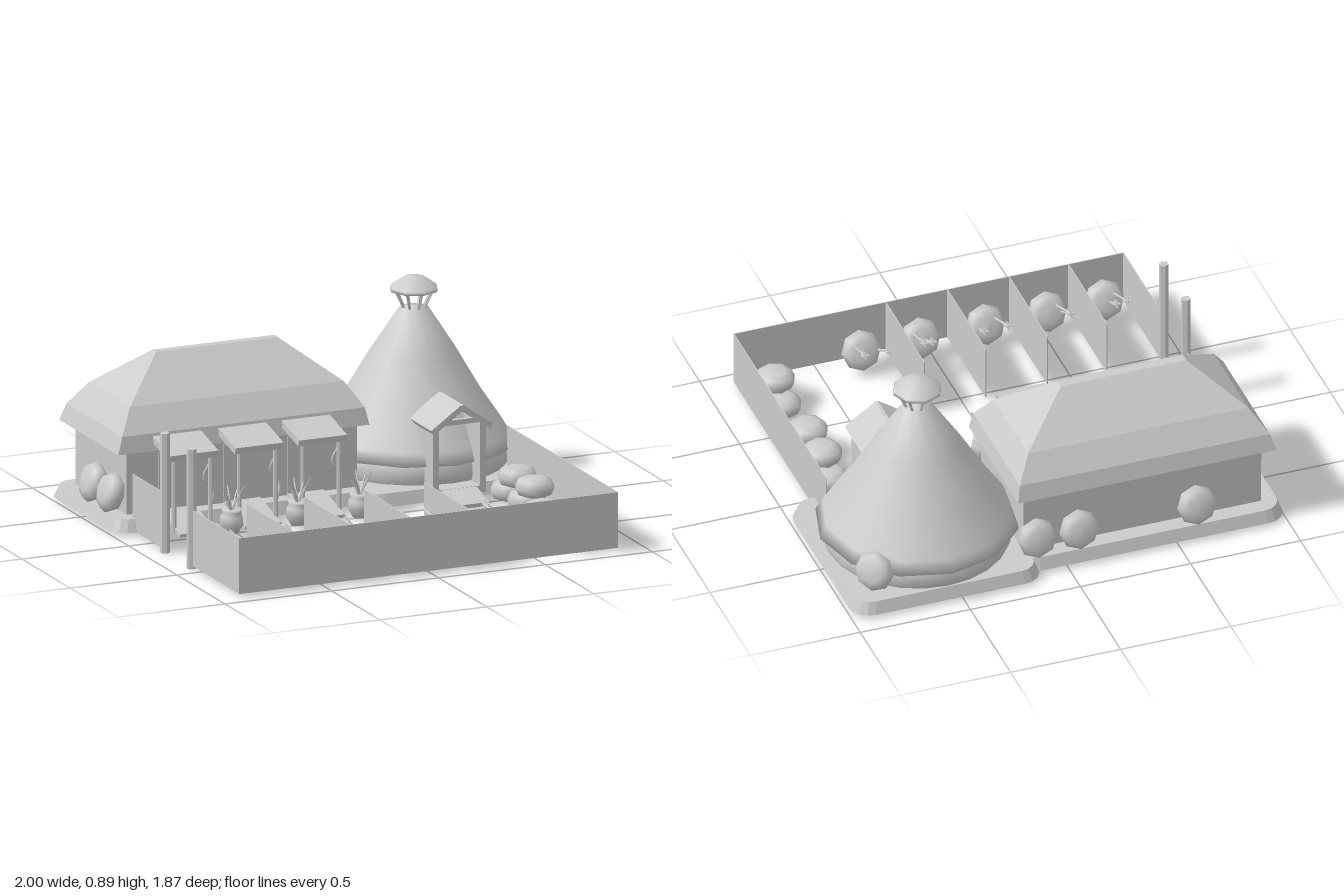
import * as THREE from 'three';

const smooth = new THREE.MeshStandardMaterial({ color: 0xcccccc, side: THREE.DoubleSide });
const flat = new THREE.MeshStandardMaterial({ color: 0xcccccc, side: THREE.DoubleSide, flatShading: true });
const UP = new THREE.Vector3(0, 1, 0);

export function createModel() {
  const root = new THREE.Group();
  const add = (name, geo, mat = flat, parent = root) => {
    const m = new THREE.Mesh(geo, mat);
    m.name = name;
    parent.add(m);
    return m;
  };
  // Box given by its limits
  const box = (name, x0, x1, y0, y1, z0, z1) => {
    const m = add(name, new THREE.BoxGeometry(x1 - x0, y1 - y0, z1 - z0));
    m.position.set((x0 + x1) / 2, (y0 + y1) / 2, (z0 + z1) / 2);
    return m;
  };
  // Straight rod between two points
  const rod = (name, a, b, r0, r1 = r0, sides = 6) => {
    const p = new THREE.Vector3(...a), q = new THREE.Vector3(...b);
    const m = add(name, new THREE.CylinderGeometry(r1, r0, p.distanceTo(q), sides));
    m.position.copy(p).lerp(q, 0.5);
    m.quaternion.setFromUnitVectors(UP, q.sub(p).normalize());
    return m;
  };
  // Sloping slab running in z, from the back edge to the front edge
  const slab = (name, x, w, yBack, zBack, yFront, zFront, t) => {
    const len = Math.hypot(zFront - zBack, yBack - yFront);
    const m = add(name, new THREE.BoxGeometry(w, t, len));
    m.position.set(x, (yBack + yFront) / 2 - t / 2, (zBack + zFront) / 2);
    m.rotation.x = Math.atan2(yBack - yFront, zFront - zBack);
    return m;
  };
  // Rectangle ring with rounded corners, counter-clockwise from above
  const ring = (x0, x1, z0, z1, y, r = 0, n = 0) => {
    const pts = [];
    [[x1 - r, z0 + r], [x0 + r, z0 + r], [x0 + r, z1 - r], [x1 - r, z1 - r]].forEach(([cx, cz], k) => {
      for (let i = 0; i <= n; i++) {
        const a = (k + (n ? i / n : 0)) * Math.PI / 2;
        pts.push([cx + r * Math.cos(a), y, cz - r * Math.sin(a)]);
      }
    });
    return pts;
  };
  // Skin over stacked rings, closed on top
  const loft = (name, rings) => {
    const v = [], n = rings[0].length;
    for (let k = 0; k < rings.length - 1; k++) {
      for (let j = 0; j < n; j++) {
        const a = rings[k][j], b = rings[k][(j + 1) % n];
        const c = rings[k + 1][(j + 1) % n], d = rings[k + 1][j];
        v.push(...a, ...b, ...c, ...a, ...c, ...d);
      }
    }
    const top = rings.at(-1);
    for (let j = 1; j < n - 1; j++) v.push(...top[0], ...top[j], ...top[j + 1]);
    const g = new THREE.BufferGeometry();
    g.setAttribute('position', new THREE.Float32BufferAttribute(v, 3));
    g.computeVertexNormals();
    return add(name, g);
  };
  const lathe = (name, pts, sides, x, y, z, mat = smooth) => {
    const m = add(name, new THREE.LatheGeometry(pts.map(p => new THREE.Vector2(...p)), sides), mat);
    m.position.set(x, y, z);
    return m;
  };

  // Stone platforms
  const platform = (name, x0, x1, z0, z1) => loft(name, [
    ring(x0, x1, z0, z1, 0.015, 0.09, 4),
    ring(x0 + 0.02, x1 - 0.02, z0 + 0.02, z1 - 0.02, 0.07, 0.08, 4)]);
  platform('housePlatform', -1, 0.22, -0.85, -0.13);
  platform('tentPlatform', 0.13, 0.99, -0.92, -0.055);

  // House walls and hipped roof
  box('houseWalls', -0.91, 0.17, 0.06, 0.4, -0.755, -0.225);
  loft('houseRoof', [
    ring(-0.9, 0.16, -0.74, -0.24, 0.36),
    ring(-0.965, 0.21, -0.8, -0.185, 0.35),
    ring(-0.94, 0.195, -0.78, -0.2, 0.425),
    ring(-0.87, 0.13, -0.705, -0.275, 0.53),
    ring(-0.66, -0.09, -0.51, -0.47, 0.7)]);

  // Awnings with posts, doors and ramps along the house front
  for (const x of [-0.685, -0.38, -0.083]) {
    slab('awning', x, 0.225, 0.42, -0.23, 0.37, -0.02, 0.03);
    slab('ramp', x, 0.17, 0.085, -0.2, 0.03, 0.02, 0.015);
    box('door', x - 0.075, x + 0.075, 0.07, 0.33, -0.23, -0.218);
    for (const s of [-1, 1]) rod('awningPost', [x + s * 0.085, 0.02, -0.04], [x + s * 0.085, 0.37, -0.04], 0.01);
  }

  // Potted plants with twigs, and climbers on the wall behind
  for (const x of [-0.535, -0.225, 0.065]) {
    lathe('plantPot', [[0, 0], [0.03, 0], [0.055, 0.04], [0.05, 0.075], [0.035, 0.09], [0.045, 0.105], [0, 0.1]], 8, x, 0.015, 0.035);
    for (let i = 0; i < 6; i++) {
      const a = i * 2.4, r = 0.035 + 0.008 * (i % 4);
      const tip = [x + r * Math.cos(a), 0.18 + 0.015 * (i % 4), 0.035 + r * Math.sin(a)];
      rod('plantTwig', [x, 0.11, 0.035], tip, 0.006, 0.003, 4);
    }
    const curve = new THREE.CatmullRomCurve3([[0, 0.07, -0.18], [0.02, 0.14, -0.2], [-0.025, 0.2, -0.2], [0.02, 0.28, -0.21]]
      .map(([dx, y, z]) => new THREE.Vector3(x + dx, y, z)));
    add('climber', new THREE.TubeGeometry(curve, 10, 0.006, 4), smooth);
  }

  // Round tent: low wall, conical cover, smoke vent
  const tx = 0.56, tz = -0.5;
  lathe('tentWall', [[0.39, 0.06], [0.405, 0.09], [0.405, 0.14], [0.38, 0.18]], 24, tx, 0, tz);
  lathe('tentCover', [[0.38, 0.17], [0.44, 0.16], [0.41, 0.215], [0.31, 0.36], [0.19, 0.56], [0.065, 0.75], [0, 0.76]], 12, tx, 0, tz);
  lathe('ventCap', [[0, 0.835], [0.08, 0.82], [0.108, 0.828], [0.105, 0.842], [0.045, 0.885], [0, 0.89]], 8, tx, 0, tz);
  for (let i = 0; i < 8; i++) {
    const c = Math.cos(i * Math.PI / 4), s = Math.sin(i * Math.PI / 4);
    rod('ventStrut', [tx + 0.045 * c, 0.745, tz + 0.045 * s], [tx + 0.085 * c, 0.83, tz + 0.085 * s], 0.006, 0.006, 4);
  }

  // Tent porch with gabled roof and ramp
  for (const s of [-1, 1]) {
    box('porchWall', tx + s * 0.11 - 0.014, tx + s * 0.11 + 0.014, 0.04, 0.36, -0.21, -0.025);
    const roof = add('porchRoof', new THREE.BoxGeometry(0.172, 0.025, 0.235));
    roof.position.set(tx + s * 0.068, 0.385, -0.115);
    roof.rotation.z = -s * 0.61;
  }
  box('porchLintel', tx - 0.1, tx + 0.1, 0.35, 0.372, -0.05, -0.03);
  box('porchFloor', tx - 0.11, tx + 0.11, 0.05, 0.07, -0.21, -0.025);
  slab('porchRamp', 0.555, 0.165, 0.075, -0.05, 0.035, 0.11, 0.018);

  // Yard fence and stall dividers
  const Y0 = 0.015, Y1 = 0.262, T = 0.002;
  box('frontFence', -0.9, 0.87, Y0, Y1, 0.93 - T, 0.93 + T);
  [[0.87, -0.22, 0.93], [-0.9, 0.44, 0.93], [-0.9, -0.18, 0.14]].forEach(([x, a, b]) => box('sideFence', x - T, x + T, Y0, Y1, a, b));
  for (const x of [-0.65, -0.38, -0.1, 0.18]) box('stallDivider', x - T, x + T, Y0, Y1, 0.45, 0.93);

  // Gate posts
  for (const z of [0.155, 0.43]) rod('gatePost', [-0.9, 0, z], [-0.9, 0.53, z], 0.021);

  // Straw discs: leaning on walls, stacked, and set up as targets
  const profile = [[0, -0.045], [0.045, -0.042], [0.075, -0.03], [0.09, 0], [0.075, 0.03], [0.045, 0.042], [0, 0.045]];
  const disc = (name, x, y, z, normal = [0, 1, 0]) => {
    const m = lathe(name, profile, 8, x, y, z);
    m.quaternion.setFromUnitVectors(UP, new THREE.Vector3(...normal).normalize());
  };
  for (const x of [-0.6, -0.065, 0.125]) disc('leaningDisc', x, 0.155, -0.805, [0, 0.3, -1]);
  for (const z of [-0.48, -0.3]) disc('leaningDisc', -0.95, 0.155, z, [-1, 0.3, 0]);
  disc('leaningDisc', 0.865, 0.16, -0.805, [0.7, 0.3, -0.7]);
  for (const z of [0.054, 0.23, 0.405, 0.64, 0.81]) disc('stackedDisc', 0.76, 0.06, z);
  for (const z of [0.13, 0.31, 0.72]) disc('stackedDisc', 0.76, 0.14, z);

  // Targets with two arrows each: [target x, far arrow offset, near arrow offset]
  for (const [x, a, b] of [[-0.78, -0.04, -0.01], [-0.52, -0.04, -0.06], [-0.24, -0.04, 0.05], [0.055, 0.045, -0.01], [0.325, 0.045, -0.08]]) {
    disc('target', x, 0.105, 0.84, [0, 0.4, -0.9]);
    [[a, 0.65, 0.2], [b, 0.7, 0.16]].forEach(([dx, z, y]) => {
      const ax = x + dx, hx = x + dx * 0.8;
      rod('arrowShaft', [hx, y - 0.06, 0.83], [ax, y, z + 0.02], 0.006, 0.006, 5);
      for (const k of [0, 1]) {
        const f = add('arrowFletching', new THREE.BoxGeometry(k ? 0.003 : 0.032, k ? 0.032 : 0.003, 0.045));
        f.position.set(ax, y, z + 0.02);
        f.rotation.x = 0.35;
      }
    });
  }
  return root;
}
